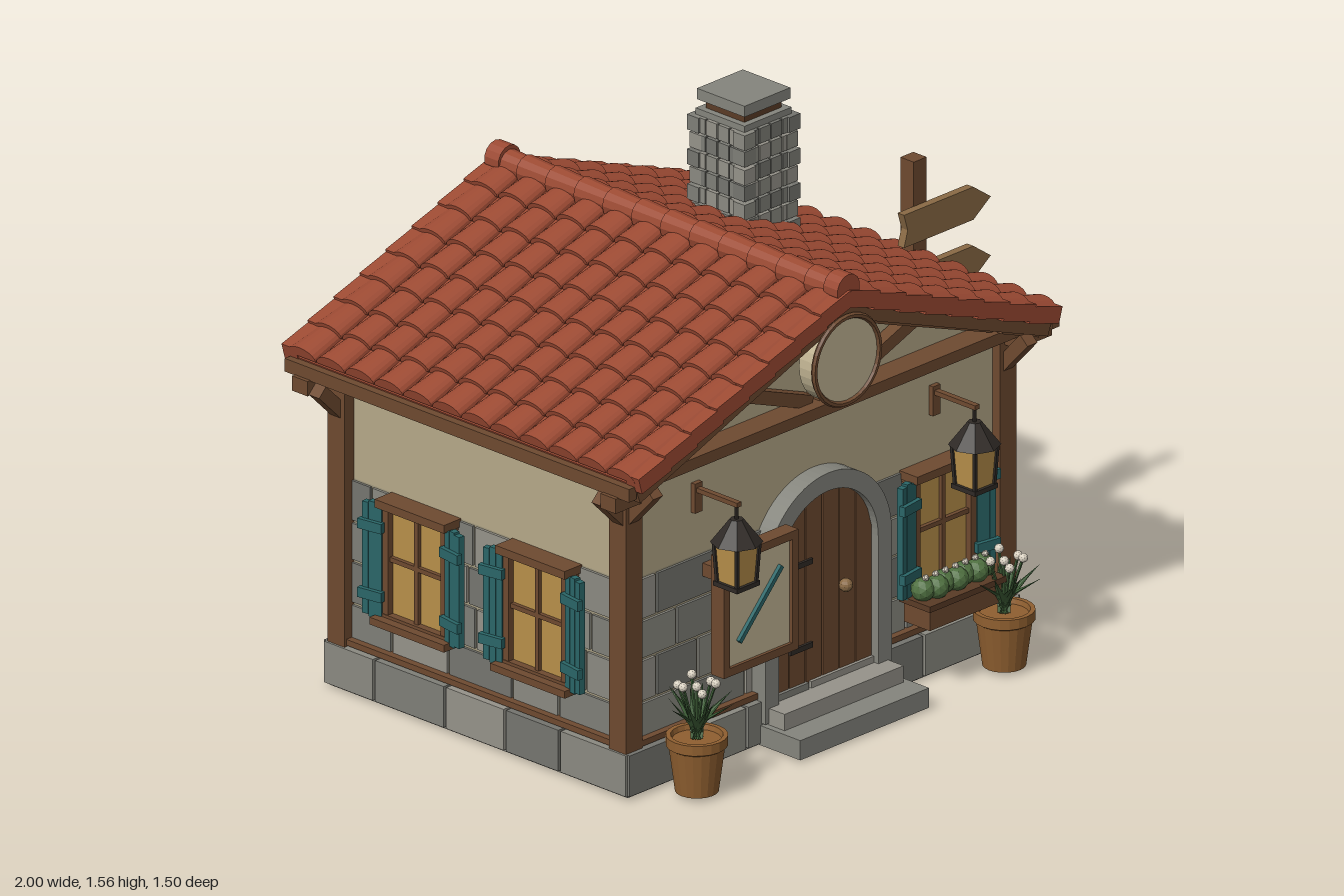
import * as THREE from 'three';

const C = { wood: 0x6e4a30, dark: 0x5a3b26, plaster: 0xb5a888, mortar: 0xa39a80, teal: 0x2a6668, glass: 0xb8904a,
  tile: 0x9c4a33, iron: 0x2f2a26, pot: 0x8f5f30, leaf: 0x3f6038, sign: 0x8a6a45, cream: 0xc2b594, stone: 0x85857d };
const STONES = [0x7f7f78, 0x8b8a81, 0x75756f, 0x96938a];
const mats = {};
const mat = (c) => (mats[c] ??= new THREE.MeshStandardMaterial({ color: c, flatShading: true }));

function add(parent, name, geo, color, x = 0, y = 0, z = 0) {
  const m = new THREE.Mesh(geo, mat(color));
  m.name = name;
  m.position.set(x, y, z);
  parent.add(m);
  return m;
}
const box = (parent, name, color, w, h, d, x, y, z) => add(parent, name, new THREE.BoxGeometry(w, h, d), color, x, y, z);

function group(parent, name, x = 0, y = 0, z = 0, ry = 0) {
  const g = new THREE.Group();
  g.name = name;
  g.position.set(x, y, z);
  g.rotation.y = ry;
  parent.add(g);
  return g;
}

// Square timber running between two points
function bar(parent, name, color, a, b, t, d = t) {
  const p = new THREE.Vector3(...a), q = new THREE.Vector3(...b);
  const m = box(parent, name, color, t, p.distanceTo(q), d, 0, 0, 0);
  m.position.copy(p).add(q).multiplyScalar(0.5);
  m.quaternion.setFromUnitVectors(new THREE.Vector3(0, 1, 0), q.sub(p).normalize());
}
const extrude = (shape, depth) => new THREE.ExtrudeGeometry(shape, { depth, bevelEnabled: false, curveSegments: 16 });
const poly = (pts) => new THREE.Shape(pts.map((p) => new THREE.Vector2(...p)));

// Courses of stone blocks on one wall, facing +z
function stoneWall(parent, half, rows, seed) {
  rows.forEach(([y, h, w], r) => {
    let x = -half, i = 0;
    while (x < half - 0.01) {
      let len = i === 0 && r % 2 ? w * 0.55 : w * (1 + 0.18 * Math.sin(seed + i * 2.3 + r * 1.7));
      if (half - x - len < 0.07) len = half - x;
      box(parent, 'stoneBlock', STONES[(i * 3 + r * 2 + seed) % 4], len - 0.01, h - 0.01, 0.03, x + len / 2, y + h / 2, 0);
      x += len;
      i++;
    }
  });
}

// Window with four panes and a pair of plank shutters, facing +z
function windowUnit(parent, x, z, ry) {
  const g = group(parent, 'window', x, 0.45, z, ry);
  box(g, 'glass', C.glass, 0.22, 0.34, 0.03, 0, 0, 0.01);
  for (const s of [-1, 1]) {
    box(g, 'windowJamb', C.wood, 0.022, 0.35, 0.05, s * 0.113, 0, 0.02);
    box(g, 'windowRail', C.wood, 0.26, 0.024, 0.055, 0, s * 0.17, 0.02);
    const sh = group(g, 'shutter', s * 0.157, 0, 0.045, s * -0.15);
    for (let i = -1; i <= 1; i++) box(sh, 'shutterPlank', C.teal, 0.021, 0.34 + 0.012 * (1 - Math.abs(i)), 0.02, i * 0.0225, 0, 0);
    for (const y of [-0.105, 0.105]) box(sh, 'shutterBatten', C.teal, 0.082, 0.03, 0.018, 0, y, 0.014);
  }
  box(g, 'mullion', C.wood, 0.014, 0.33, 0.015, 0, 0, 0.03);
  box(g, 'transom', C.wood, 0.22, 0.014, 0.015, 0, 0.01, 0.03);
  box(g, 'windowSill', C.wood, 0.29, 0.022, 0.08, 0, -0.178, 0.035);
  box(g, 'windowLintel', C.wood, 0.27, 0.025, 0.07, 0, 0.18, 0.03);
}

function roofSlope(parent, ry) {
  const g = group(group(parent, 'roofSide', 0, 1.31, 0, ry), 'roofSlope');
  g.rotation.z = -0.36;
  box(g, 'roofDeck', C.tile, 0.9, 0.025, 1.36, 0.45, -0.005, 0);
  const tile = new THREE.CylinderGeometry(0.046, 0.055, 0.126, 10, 1, false, 0, Math.PI).rotateZ(Math.PI / 2).scale(1, 0.6, 1);
  const verge = new THREE.BoxGeometry(0.125, 0.05, 0.055);
  for (let r = 0; r < 8; r++) {
    const x = 0.055 + r * 0.112;
    for (let c = 0; c < 12; c++) add(g, 'roofTile', tile, C.tile, x, 0.012, (c - 5.5) * 0.113).rotation.z = 0.07;
    for (const s of [-1, 1]) add(g, 'vergeTile', verge, C.tile, x, 0.008, s * 0.668).rotation.z = 0.07;
  }
  for (let c = 0; c < 13; c++) box(g, 'rafterTail', C.wood, 0.16, 0.045, 0.035, 0.81, -0.045, (c - 6) * 0.105);
  for (const s of [-1, 1]) box(g, 'bargeBoard', C.wood, 0.9, 0.045, 0.05, 0.45, -0.035, s * 0.645);
}

function lantern(parent, x) {
  const g = group(parent, 'lantern', x, 0, 0.715);
  const sq = (r1, r2, h) => new THREE.CylinderGeometry(r1, r2, h, 4).rotateY(Math.PI / 4);
  add(g, 'lanternGlow', sq(0.062, 0.052, 0.12), C.glass, 0, 0.668);
  add(g, 'lanternFoot', sq(0.066, 0.066, 0.014), C.iron, 0, 0.604);
  add(g, 'lanternCap', new THREE.CylinderGeometry(0.02, 0.075, 0.07, 8), C.iron, 0, 0.765);
  for (const a of [-1, 1]) for (const b of [-1, 1])
    bar(g, 'lanternPost', C.iron, [a * 0.038, 0.605, b * 0.038], [a * 0.045, 0.735, b * 0.045], 0.01);
  add(g, 'lanternRod', new THREE.CylinderGeometry(0.006, 0.006, 0.06, 6), C.iron, 0, 0.82);
  box(g, 'lanternArm', C.wood, 0.018, 0.014, 0.17, 0, 0.845, -0.075);
  box(g, 'lanternPlate', C.wood, 0.03, 0.09, 0.015, 0, 0.82, -0.155);
}

function pottedPlant(parent, x) {
  const g = group(parent, 'pottedPlant', x, 0, 0.695);
  const prof = [[0, 0.01], [0.062, 0.01], [0.08, 0.145], [0.088, 0.15], [0.088, 0.18], [0.074, 0.18], [0.07, 0.165], [0, 0.165]];
  add(g, 'pot', new THREE.LatheGeometry(prof.map((p) => new THREE.Vector2(...p)), 20), C.pot);
  const leaf = new THREE.ConeGeometry(0.02, 0.14, 4).scale(1, 1, 0.35).translate(0, 0.07, 0);
  for (let i = 0; i < 18; i++) {
    const l = add(g, 'leaf', leaf, C.leaf, 0, 0.17 + (i % 3) * 0.02, 0);
    l.rotation.set(0.35 + (i % 3) * 0.3, i * 2.4, 0, 'YXZ');
  }
  for (let i = 0; i < 7; i++) {
    const r = i ? 0.055 : 0, p = [r * Math.cos(i * 1.05), 0.325 + (i % 2) * 0.015, r * Math.sin(i * 1.05)];
    bar(g, 'stem', C.leaf, [0, 0.17, 0], p, 0.006);
    add(g, 'flower', new THREE.IcosahedronGeometry(0.014, 1), 0xd8d0c0, ...p);
  }
}

export function createModel() {
  const root = new THREE.Group();
  root.name = 'cottage';
  const h = group(root, 'house', -0.12, 0, -0.05);

  // Walls and plinth
  box(h, 'plinth', C.stone, 1.56, 0.13, 1.16, 0, 0.065, 0);
  box(h, 'floorUnderside', 0x444442, 1.54, 0.01, 1.14, 0, 0.003, 0);
  box(h, 'stoneCore', C.mortar, 1.5, 0.52, 1.1, 0, 0.38, 0);
  add(h, 'plasterWalls', extrude(poly([[-0.75, 0.63], [0.75, 0.63], [0.75, 1], [0, 1.28], [-0.75, 1]]), 1.1), C.plaster, 0, 0, -0.55);
  for (let k = 0; k < 4; k++) {
    const [half, dist] = k % 2 ? [0.55, 0.75] : [0.75, 0.55];
    const w = group(h, 'wallSide', 0, 0, 0, k * Math.PI / 2);
    stoneWall(group(w, 'stoneCourses', 0, 0, dist - 0.007), half, [[0.14, 0.12, 0.22], [0.26, 0.13, 0.2], [0.39, 0.12, 0.23], [0.51, 0.13, 0.2]], k + 1);
    stoneWall(group(w, 'plinthCourse', 0, 0, dist + 0.03), half + 0.042, [[0.005, 0.135, 0.24]], k + 2);
    box(w, 'sillBeam', C.wood, half * 2 + 0.04, 0.018, 0.04, 0, 0.148, dist + 0.01);
    box(w, 'wallPlate', C.wood, half * 2, 0.035, 0.05, 0, 0.967, dist + 0.01);
  }

  // Corner posts, brackets and gable trusses
  for (const s of [-1, 1]) {
    for (const t of [-1, 1]) {
      box(h, 'cornerPost', C.wood, 0.066, 0.84, 0.066, s * 0.755, 0.55, t * 0.548);
      bar(h, 'eaveBracket', C.wood, [s * 0.76, 0.83, t * 0.55], [s * 0.86, 0.93, t * 0.55], 0.04);
      bar(h, 'gableBracket', C.wood, [s * 0.755, 0.84, t * 0.56], [s * 0.755, 0.95, t * 0.66], 0.04);
      box(h, 'beamEnd', C.wood, 0.14, 0.045, 0.06, s * 0.81, 0.935, t * 0.6);
      bar(h, 'trussRafter', C.wood, [0, 1.25, t * 0.58], [s * 0.84, 0.94, t * 0.58], 0.045, 0.06);
      bar(h, 'trussBrace', C.wood, [s * 0.05, 0.985, t * 0.575], [s * 0.38, 1.11, t * 0.575], 0.04);
    }
    box(h, 'tieBeam', C.wood, 1.62, 0.035, 0.08, 0, 0.967, s * 0.59);
    box(h, 'kingPost', C.wood, 0.055, 0.28, 0.05, 0, 1.11, s * 0.575);
    box(h, 'fascia', C.wood, 0.03, 0.04, 1.34, s * 0.853, 0.975, 0);
    windowUnit(h, s * 0.757, 0.24, s * Math.PI / 2);
    windowUnit(h, s * 0.757, -0.23, s * Math.PI / 2);
    windowUnit(h, s * 0.32, -0.557, Math.PI);
    lantern(h, s * 0.48);
    pottedPlant(h, s * 0.62);
  }
  windowUnit(h, 0.48, 0.557, 0);

  // Roof and ridge
  roofSlope(h, 0);
  roofSlope(h, Math.PI);
  const ridge = new THREE.CylinderGeometry(0.036, 0.043, 0.125, 12).rotateX(Math.PI / 2);
  for (let i = 0; i < 12; i++) add(h, 'ridgeTile', ridge, C.tile, 0, 1.335, (i - 5.5) * 0.112);
  for (const s of [-1, 1]) add(h, 'ridgeEnd', new THREE.CylinderGeometry(0.046, 0.046, 0.055, 14).rotateX(Math.PI / 2), C.tile, 0, 1.342, s * 0.66);

  // Chimney with stacked stones
  const ch = group(h, 'chimney', 0.46, 0, -0.165);
  box(ch, 'chimneyCore', 0x5f5c55, 0.185, 0.38, 0.185, 0, 1.29, 0);
  for (let r = 0; r < 7; r++) for (let k = 0; k < 4; k++) {
    const f = group(ch, 'chimneySide', 0, 1.14 + r * 0.053, 0, k * Math.PI / 2);
    for (let i = 0; i < 4; i++) box(f, 'chimneyStone', STONES[(r + i * 2 + k) % 4], 0.041, 0.046, 0.025, (i - 1.5) * 0.046, 0, 0.094);
    box(f, 'cornerStone', STONES[(r + k) % 4], 0.045, 0.046, 0.045, 0.09 - (r % 2) * 0.005, 0, 0.09 - (r % 2) * 0.005);
  }
  box(ch, 'chimneyCollar', C.stone, 0.19, 0.03, 0.19, 0, 1.485, 0);
  box(ch, 'flueOpening', C.dark, 0.15, 0.035, 0.15, 0, 1.51, 0);
  box(ch, 'chimneyCap', C.stone, 0.185, 0.033, 0.185, 0, 1.543, 0);

  // Arched plank door with stone surround and steps
  const arch = poly([[-0.255, 0.07], [-0.255, 0.505]]);
  arch.absarc(0, 0.505, 0.255, Math.PI, 0, true);
  arch.lineTo(0.255, 0.07).lineTo(0.2, 0.07).lineTo(0.2, 0.505);
  arch.absarc(0, 0.505, 0.2, 0, Math.PI, false);
  arch.lineTo(-0.2, 0.07);
  add(h, 'doorSurround', extrude(arch, 0.08), C.stone, 0, 0, 0.53);
  const top = (x) => 0.505 + Math.sqrt(Math.max(0, 0.04 - x * x));
  for (let i = 0; i < 6; i++) {
    const a = -0.2 + i / 15 + 0.002, b = a + 0.0625, pts = [[a, 0.115], [b, 0.115]];
    for (let k = 0; k <= 4; k++) pts.push([b + (a - b) * k / 4, top(b + (a - b) * k / 4)]);
    add(h, 'doorPlank', extrude(poly(pts), 0.03), C.wood, 0, 0, 0.555);
  }
  for (const y of [0.245, 0.5]) box(h, 'doorHinge', C.iron, 0.09, 0.016, 0.01, -0.09, y, 0.588);
  add(h, 'doorKnob', new THREE.SphereGeometry(0.02, 12, 8), C.sign, 0.08, 0.39, 0.6);
  box(h, 'lowerStep', C.stone, 0.52, 0.06, 0.2, 0, 0.035, 0.65);
  box(h, 'upperStep', STONES[3], 0.48, 0.05, 0.12, 0, 0.09, 0.61);

  // Notice board
  const nb = group(h, 'noticeBoard', -0.35, 0.49, 0.66);
  box(nb, 'boardPanel', C.cream, 0.27, 0.34, 0.03, 0, 0, 0);
  for (const s of [-1, 1]) {
    box(nb, 'boardStile', C.wood, 0.025, 0.365, 0.05, s * 0.138, 0, 0);
    box(nb, 'boardRail', C.wood, 0.3, 0.025, 0.05, 0, s * 0.17, 0);
    box(nb, 'boardBracket', C.wood, 0.03, 0.04, 0.11, s * 0.09, 0.1, -0.06);
  }
  bar(nb, 'boardStripe', C.teal, [-0.085, -0.09, 0.02], [0.085, 0.09, 0.02], 0.014);

  // Round gable plaque
  add(h, 'plaqueFace', new THREE.CylinderGeometry(0.13, 0.13, 0.06, 32).rotateX(Math.PI / 2), C.cream, 0, 1.125, 0.65);
  add(h, 'plaqueRim', new THREE.TorusGeometry(0.131, 0.009, 6, 32), C.wood, 0, 1.125, 0.68);

  // Flower box under the front window
  box(h, 'flowerBox', C.wood, 0.29, 0.07, 0.1, 0.47, 0.235, 0.64);
  box(h, 'flowerBoxRim', C.dark, 0.31, 0.018, 0.12, 0.47, 0.27, 0.64);
  for (let i = 0; i < 7; i++) {
    add(h, 'shrub', new THREE.IcosahedronGeometry(0.036, 1), 0x4f7040, 0.35 + i * 0.04, 0.305, 0.64 + (i % 2) * 0.015);
    add(h, 'blossom', new THREE.IcosahedronGeometry(0.011, 0), 0xd8d0c0, 0.35 + i * 0.04, 0.343, 0.65);
  }

  // Signpost with three arrow boards
  const sp = group(h, 'signpost', 0.855, 0, 0.115);
  box(sp, 'signPole', C.wood, 0.052, 1.26, 0.052, 0, 0.68, 0);
  const arrow = extrude(poly([[-0.09, -0.05], [0.19, -0.05], [0.26, 0], [0.19, 0.05], [-0.09, 0.05], [-0.075, 0]]), 0.025);
  for (const y of [1.125, 0.945, 0.765]) add(sp, 'arrowBoard', arrow, C.sign, 0, y, 0.025);

  return root;
}
